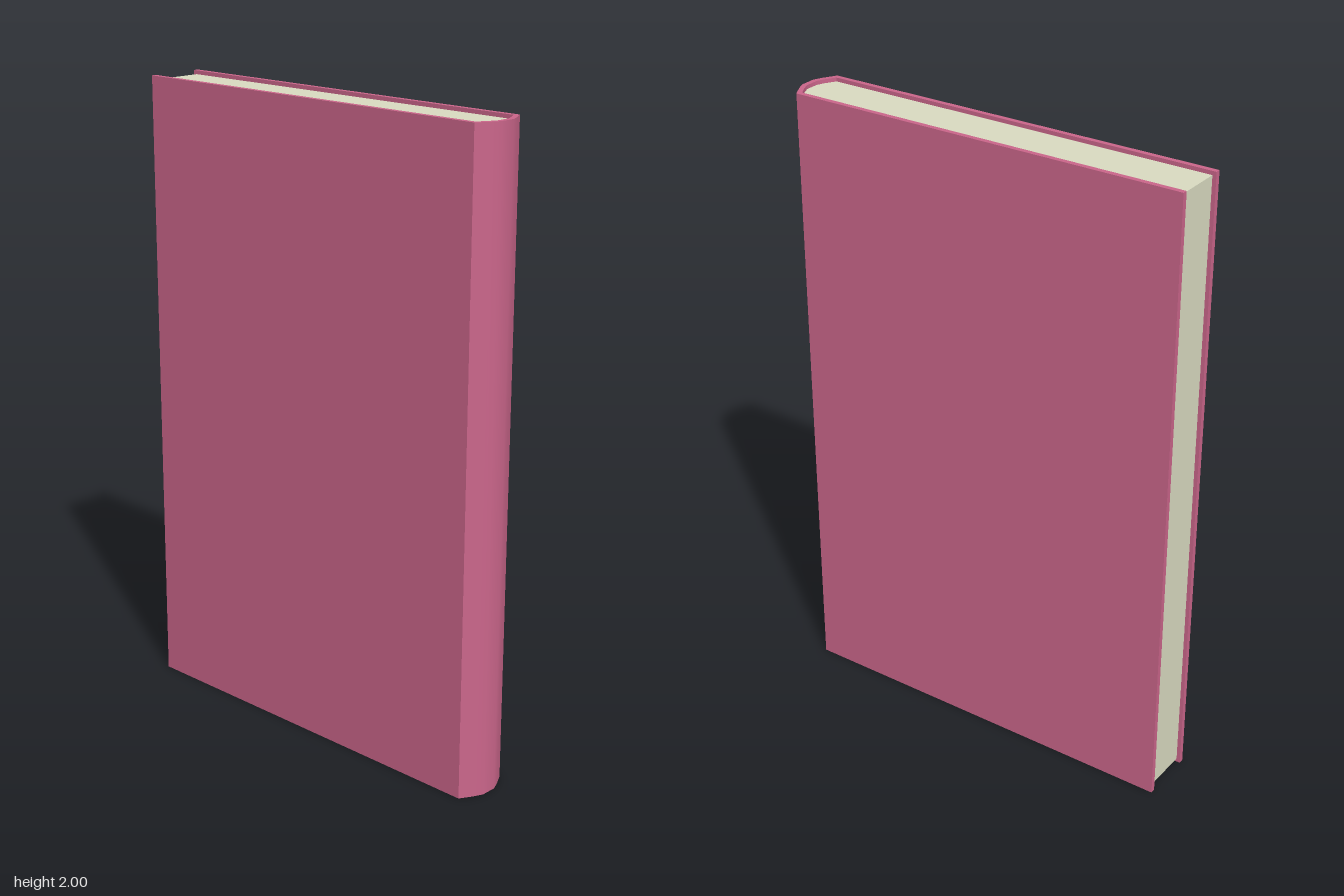
import * as THREE from 'three';
import { toCreasedNormals } from 'three/addons/utils/BufferGeometryUtils.js';

// Upright slab from a plan outline, smooth only across shallow angles
function slab(name, outline, bottom, height, color) {
  const shape = new THREE.Shape(outline.map(([x, z]) => new THREE.Vector2(x, z)));
  const extruded = new THREE.ExtrudeGeometry(shape, { depth: height, bevelEnabled: false });
  extruded.rotateX(-Math.PI / 2).translate(0, bottom, 0);
  const mesh = new THREE.Mesh(
    toCreasedNormals(extruded, 0.6),
    new THREE.MeshStandardMaterial({ color })
  );
  mesh.name = name;
  return mesh;
}

// Completes a half outline by reflecting it across the book's mid-plane
const mirrored = (half) => [...half, ...half.map(([x, z]) => [x, -z]).reverse()];

export function createModel() {
  const book = new THREE.Group();
  book.name = 'book';

  const outer = [[-0.668, -0.095], [0.631, -0.095], [0.654, -0.055], [0.667, -0.025]];
  const inner = [[-0.668, -0.079], [0.622, -0.079], [0.64, -0.048], [0.651, -0.022]];

  // Two boards and the rounded spine as one wrap-around cover
  const coverOutline = [...mirrored(outer), ...mirrored(inner).reverse()];
  book.add(slab('cover', coverOutline, 0, 2, 0xcb668b));

  // Page block, set slightly in from the three open edges
  const pageOutline = mirrored([[-0.656, -0.079], ...inner.slice(1)]);
  book.add(slab('pages', pageOutline, 0.012, 1.976, 0xdadcc2));

  return book;
}
